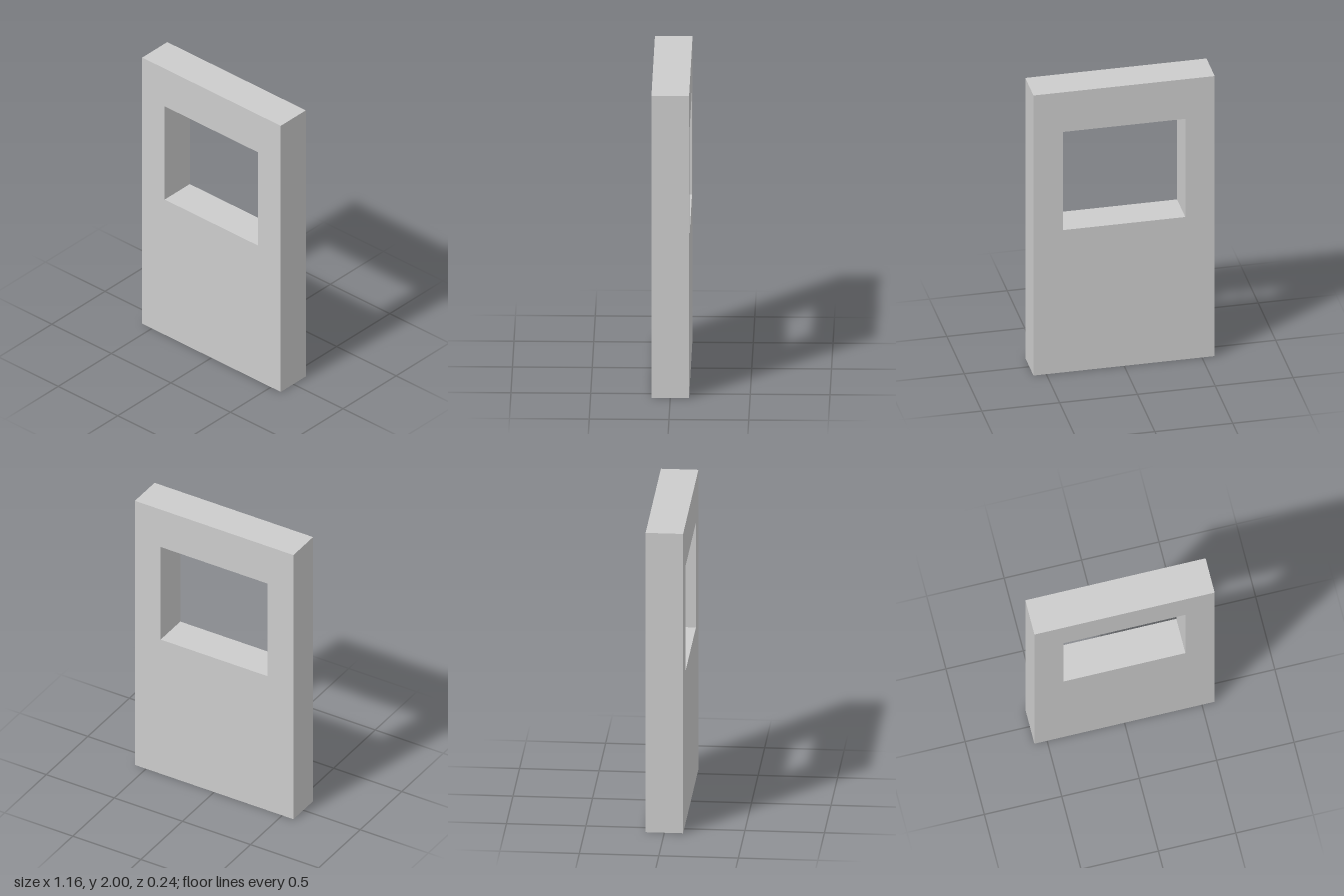
import * as THREE from 'three';

const WIDTH = 1.164, HEIGHT = 2, DEPTH = 0.236;
const OPENING = { halfWidth: 0.393, bottom: 1.016, top: 1.717 };

// Traces a rectangle, symmetric about x = 0, onto a shape or path
function rectangle(path, halfWidth, bottom, top) {
  path.moveTo(-halfWidth, bottom);
  path.lineTo(halfWidth, bottom);
  path.lineTo(halfWidth, top);
  path.lineTo(-halfWidth, top);
  path.closePath();
  return path;
}

export function createModel() {
  const group = new THREE.Group();
  group.name = 'wallPanelWithWindow';

  // Wall slab with a rectangular window opening cut right through
  const outline = rectangle(new THREE.Shape(), WIDTH / 2, 0, HEIGHT);
  outline.holes.push(rectangle(new THREE.Path(), OPENING.halfWidth, OPENING.bottom, OPENING.top));
  const geometry = new THREE.ExtrudeGeometry(outline, { depth: DEPTH, bevelEnabled: false });
  geometry.translate(0, 0, -DEPTH / 2);

  const wall = new THREE.Mesh(
    geometry,
    new THREE.MeshStandardMaterial({ color: 0xcccccc, flatShading: true })
  );
  wall.name = 'wallPanel';
  group.add(wall);
  return group;
}
